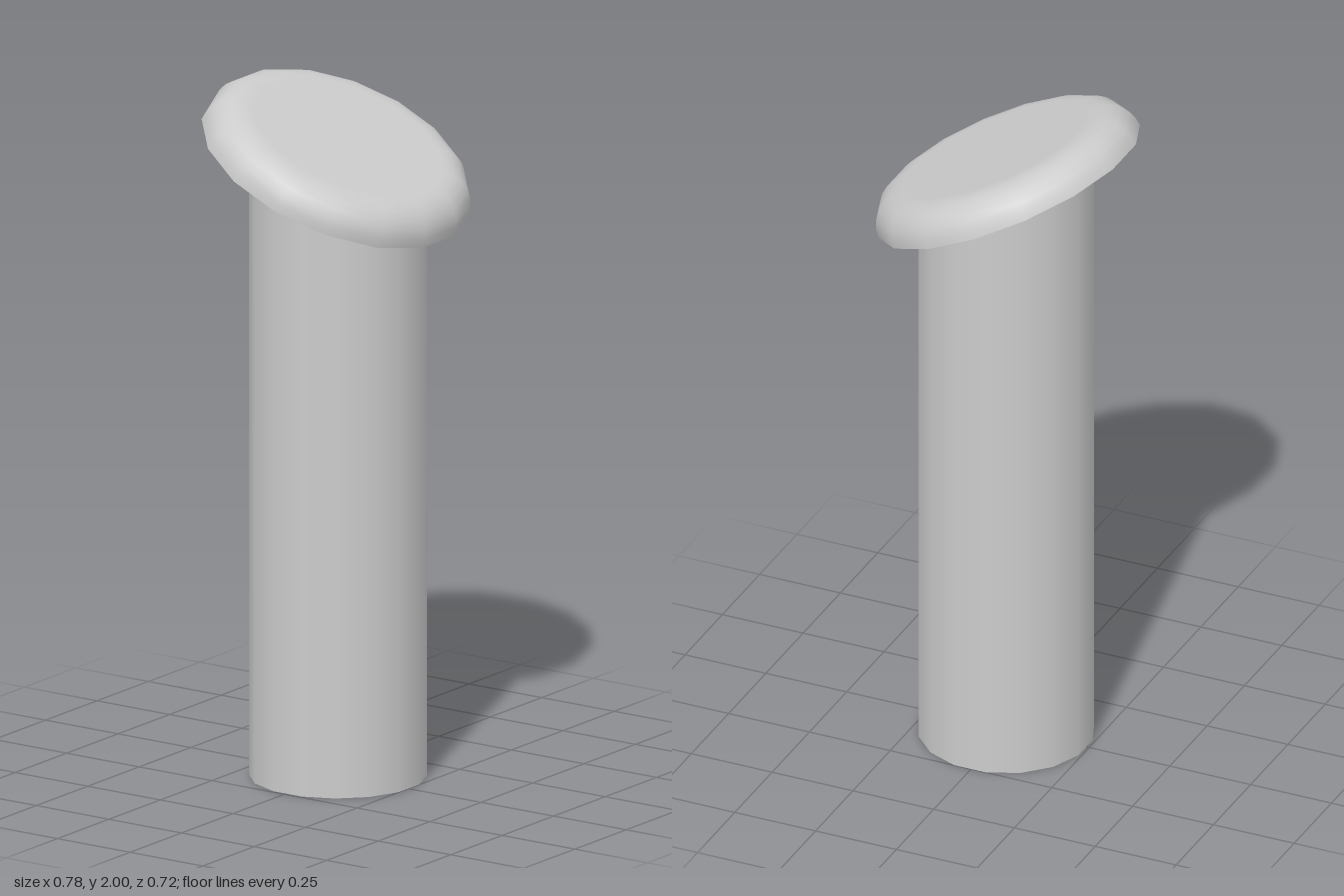
import * as THREE from 'three';

const SIDES = 16;
const HALF_STEP = Math.PI / SIDES; // turns the flats toward the axes
const TILT = THREE.MathUtils.degToRad(24.8);
const CAP_Y = 1.774, CAP_Z = -0.003;

export function createModel() {
  const model = new THREE.Group();
  model.name = 'slantedCapPost';
  const material = new THREE.MeshStandardMaterial({ color: 0xcccccc });

  const add = (parent, name, geometry) => {
    const mesh = new THREE.Mesh(geometry, material);
    mesh.name = name;
    parent.add(mesh);
    return mesh;
  };

  // Shaft: its top ring is slanted to end just inside the cap
  const shaftGeometry = new THREE.CylinderGeometry(0.25, 0.25, 1, SIDES, 1, false, HALF_STEP);
  shaftGeometry.translate(0.004, 0.5, 0.004);
  const pos = shaftGeometry.attributes.position;
  for (let i = 0; i < pos.count; i++) {
    if (pos.getY(i) > 0.5) {
      pos.setY(i, CAP_Y + 0.02 - (pos.getZ(i) - CAP_Z) * Math.tan(TILT));
    }
  }
  add(model, 'shaft', shaftGeometry);

  // Cap: flat disc with a quarter-round rim, tilted toward the front
  const cap = new THREE.Group();
  cap.name = 'cap';
  cap.position.set(0, CAP_Y, CAP_Z);
  cap.rotation.x = TILT;
  model.add(cap);

  const profile = [];
  const steps = 6;
  for (let i = 0; i <= steps; i++) {
    const a = (i / steps) * Math.PI / 2;
    profile.push(new THREE.Vector2(0.3 + 0.1 * Math.cos(a), 0.1 * Math.sin(a)));
  }
  profile.push(new THREE.Vector2(0.285, 0.1), new THREE.Vector2(0, 0.1));
  add(cap, 'capTop', new THREE.LatheGeometry(profile, SIDES, HALF_STEP));

  // Flat underside of the cap
  const underside = new THREE.CircleGeometry(0.4, SIDES, HALF_STEP);
  underside.rotateX(Math.PI / 2);
  add(cap, 'capUnderside', underside);

  return model;
}
